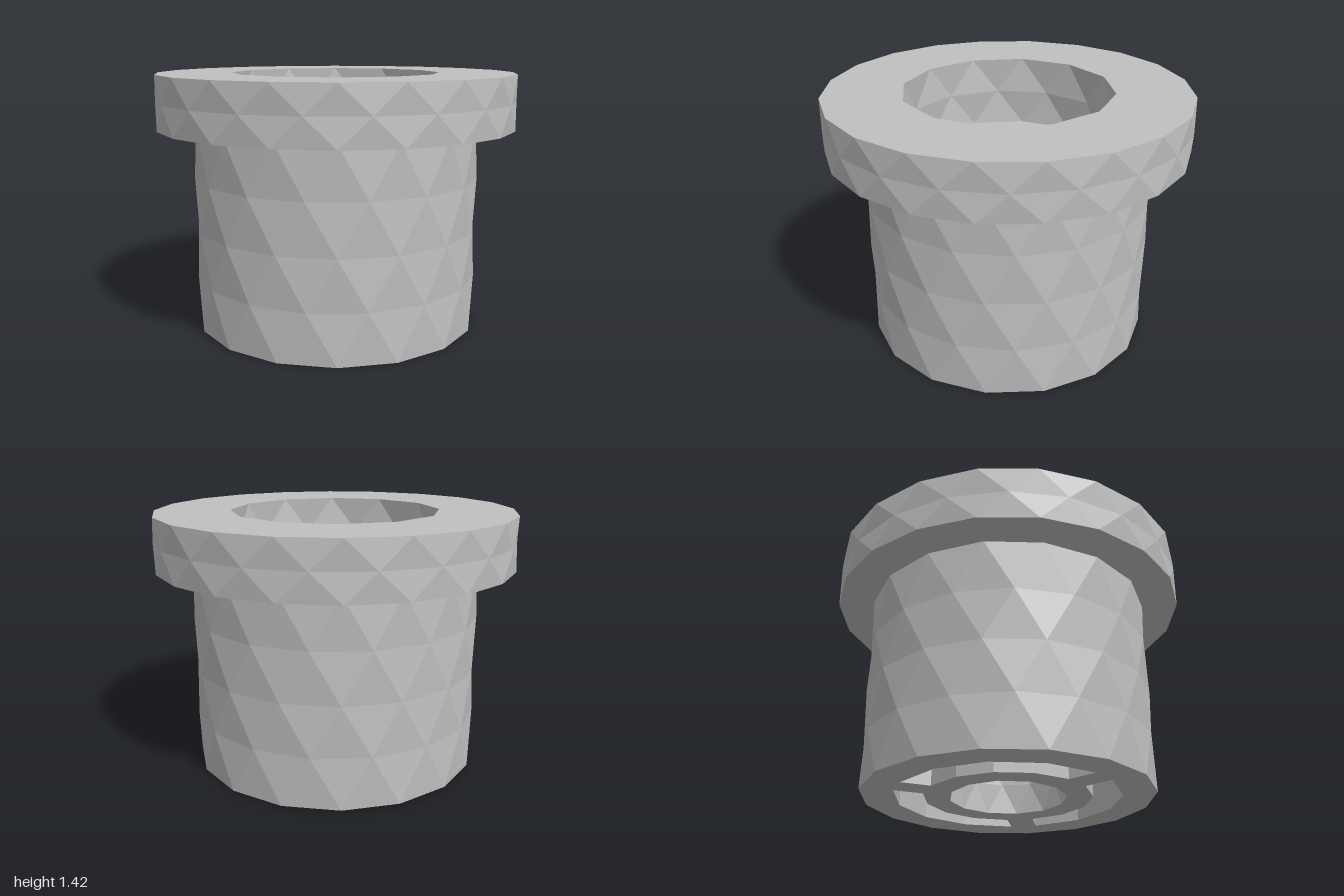
import * as THREE from 'three';

const metal = new THREE.MeshStandardMaterial({ color: 0xc0c0c0 });
metal.name = 'plain grey metal';
metal.flatShading = true;

const polar = (r, a) => new THREE.Vector2(r * Math.sin(a), r * Math.cos(a)); // (x, z)
const ring = (r, sides, shift = 0) =>
  Array.from({ length: sides }, (_, i) => polar(r, ((i + shift) / sides) * Math.PI * 2));

function fromTriangles(tris, inward) {
  const pos = [];
  for (const [a, b, c] of tris) {
    for (const v of inward ? [a, c, b] : [a, b, c]) pos.push(...v);
  }
  const g = new THREE.BufferGeometry();
  g.setAttribute('position', new THREE.Float32BufferAttribute(pos, 3));
  g.computeVertexNormals();
  return g;
}

// Round wall of triangles; every second row is turned by half a step
function facetedWall(r, sides, y0, y1, rows, inward = false) {
  const levels = [];
  for (let j = 0; j <= rows; j++) {
    const y = y0 + ((y1 - y0) * j) / rows;
    levels.push(ring(r, sides, (j % 2) / 2).map((p) => [p.x, y, p.y]));
  }
  const tris = [];
  for (let j = 0; j < rows; j++) {
    const s = j % 2;
    const A = levels[j], B = levels[j + 1];
    for (let i = 0; i < sides; i++) {
      const a1 = A[(i + 1) % sides];
      const b0 = B[(i + s) % sides];
      const b1 = B[(i + 1 + s) % sides];
      tris.push([A[i], a1, b0], [a1, b1, b0]);
    }
  }
  return fromTriangles(tris, inward);
}

// Straight wall round a closed outline, facing into the pocket
function pocketWall(points, y0, y1) {
  const tris = [];
  points.forEach((p, i) => {
    const q = points[(i + 1) % points.length];
    const a = [p.x, y0, p.y], b = [q.x, y0, q.y];
    const c = [q.x, y1, q.y], d = [p.x, y1, p.y];
    tris.push([a, b, c], [a, c, d]);
  });
  return fromTriangles(tris, true);
}

// Level face with holes, facing up or down
function levelFace(outline, holes, y, up) {
  const flip = (pts) => pts.map((p) => new THREE.Vector2(p.x, -p.y));
  const shape = new THREE.Shape(flip(outline));
  for (const h of holes) shape.holes.push(new THREE.Path(flip(h)));
  const g = new THREE.ShapeGeometry(shape);
  g.rotateX(-Math.PI / 2).translate(0, y, 0);
  if (!up) {
    g.setIndex(Array.from(g.index.array).reverse());
    g.computeVertexNormals();
  }
  return g;
}

// Curved slot between two neighbouring spokes
function slotOutline(centre, rIn, rOut, spokeWidth, steps) {
  const arc = (r) => {
    const half = Math.PI / 3 - Math.asin(spokeWidth / 2 / r);
    return Array.from({ length: steps + 1 }, (_, i) =>
      polar(r, centre - half + (2 * half * i) / steps));
  };
  return [...arc(rOut), ...arc(rIn).reverse()];
}

export function createModel() {
  const model = new THREE.Group();
  model.name = 'flangedBushing';
  const add = (name, geometry) => {
    const mesh = new THREE.Mesh(geometry, metal);
    mesh.name = name;
    model.add(mesh);
  };

  const top = 1.42, flangeY = 1.12, floorY = 1.02, slotTop = 0.85;
  const flange = ring(1, 20), body = ring(0.8, 16);
  const counterbore = ring(0.58, 12), bore = ring(0.32, 12);

  // Flange
  add('flangeRim', facetedWall(1, 20, flangeY, top, 2));
  add('flangeTop', levelFace(flange, [counterbore], top, true));
  add('flangeUnderside', levelFace(flange, [body], flangeY, false));

  // Body barrel
  add('bodyWall', facetedWall(0.8, 16, 0, flangeY, 4));

  // Counterbore and through hole
  add('counterboreWall', facetedWall(0.58, 12, floorY, top, 2, true));
  add('counterboreFloor', levelFace(counterbore, [bore], floorY, true));
  add('boreWall', facetedWall(0.32, 12, 0, floorY, 6, true));

  // Three slots in the underside, leaving spokes round the hub
  const slots = [30, 150, 270].map((d) =>
    slotOutline(THREE.MathUtils.degToRad(d), 0.46, 0.62, 0.15, 4));
  slots.forEach((slot, i) => {
    add(`slotWall${i + 1}`, pocketWall(slot, 0, slotTop));
    add(`slotCeiling${i + 1}`, levelFace(slot, [], slotTop, false));
  });
  add('bottomFace', levelFace(body, [bore, ...slots], 0, false));

  return model;
}
